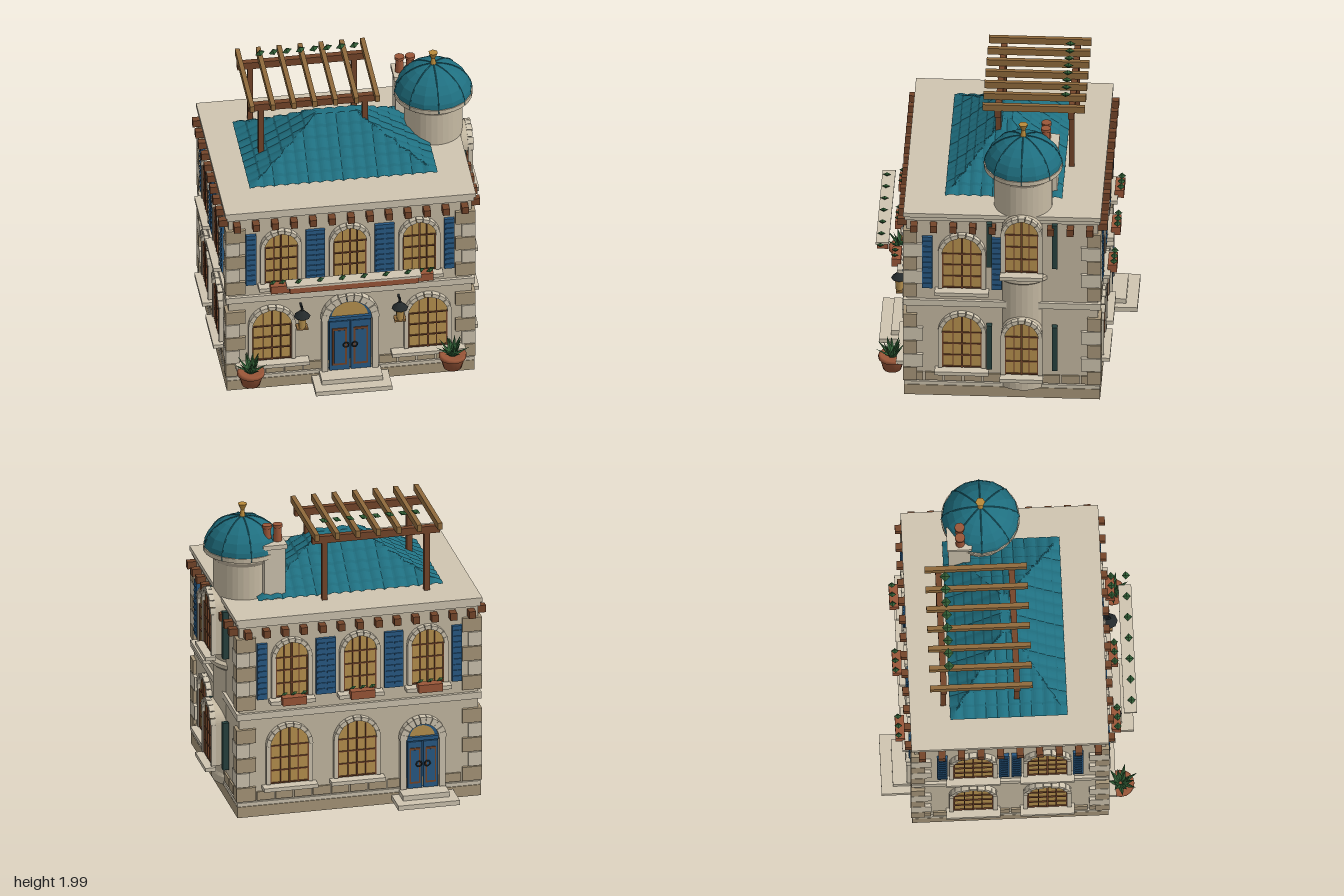
import * as THREE from 'three';

const mat = (color, extra = {}) => new THREE.MeshStandardMaterial({ color, ...extra });
const M = {
  wall: mat(0xc6baa3), trim: mat(0xcfc5b0), stone: mat(0xa8977a), teal: mat(0x1f6f80, { flatShading: true }),
  blue: mat(0x285a85), amber: mat(0xb8924f), wood: mat(0x74452a), rafter: mat(0x8f6a3c),
  clay: mat(0x9a5638), leaf: mat(0x2f5c34, { flatShading: true }), dark: mat(0x23292b), shade: mat(0x27423f), gold: mat(0xb98a3a),
};
// Wall planes of the body
const X0 = -0.83, X1 = 0.76, Z0 = -0.64, Z1 = 0.6, CX = (X0 + X1) / 2, CZ = (Z0 + Z1) / 2;

function add(parent, name, geo, material, x = 0, y = 0, z = 0) {
  const m = new THREE.Mesh(geo, material);
  m.name = name;
  m.position.set(x, y, z);
  parent.add(m);
  return m;
}
const box = (p, name, material, w, h, d, x, y, z) => add(p, name, new THREE.BoxGeometry(w, h, d), material, x, y, z);

function group(parent, name, x = 0, y = 0, z = 0) {
  const g = new THREE.Group();
  g.name = name;
  g.position.set(x, y, z);
  parent.add(g);
  return g;
}
// Group on a wall: local +z points outwards, u is the world coordinate along the wall
function onWall(parent, name, side, u, y = 0, plane) {
  const g = group(parent, name);
  if (side === 'front') g.position.set(u, y, plane ?? Z1);
  if (side === 'back') { g.position.set(u, y, plane ?? Z0); g.rotation.y = Math.PI; }
  if (side === 'right') { g.position.set(plane ?? X1, y, u); g.rotation.y = Math.PI / 2; }
  if (side === 'left') { g.position.set(plane ?? X0, y, u); g.rotation.y = -Math.PI / 2; }
  return g;
}
// Arched outline from y = 0, springing at height s
function arch(r, s) {
  const sh = new THREE.Shape();
  sh.moveTo(-r, 0);
  sh.lineTo(r, 0);
  sh.lineTo(r, s);
  sh.absarc(0, s, r, 0, Math.PI, false);
  sh.closePath();
  return sh;
}
const extrude = (shape, depth) => new THREE.ExtrudeGeometry(shape, { depth, bevelEnabled: false, curveSegments: 16 });

// Ring of wedge stones around an arch
function archStones(g, rIn, rOut, s, depth, n = 9) {
  for (let i = 0; i < n; i++) {
    const a = (i + 0.04) / n * Math.PI, b = (i + 0.96) / n * Math.PI;
    const sh = new THREE.Shape();
    sh.absarc(0, s, rOut, a, b, false);
    sh.absarc(0, s, rIn, b, a, true);
    sh.closePath();
    add(g, 'archStone', extrude(sh, depth + (i % 2 ? 0.004 : 0)), M.trim);
  }
}

function leafTuft(g, x, y, z, s = 0.025) {
  const m = add(g, 'leaf', new THREE.OctahedronGeometry(s), M.leaf, x, y, z);
  m.scale.y = 0.5;
  m.rotation.z = 0.4;
}

// Arched window: R outer radius, h full height
function archWindow(g, R, h, { shutters = 0, planter = false, sill = R * 2 + 0.03, sillDepth = 0.07 } = {}) {
  const s = h - R, r = R - 0.027;
  add(g, 'glass', extrude(arch(r, s), 0.014), M.amber);
  archStones(g, r, R, s, 0.034);
  for (const k of [-1, 1]) {
    box(g, 'jamb', M.trim, 0.027, s, 0.03, k * (R - 0.0135), s / 2, 0.015);
    box(g, 'innerFrame', M.wood, 0.008, s, 0.022, k * (r - 0.004), s / 2, 0.011);
    box(g, 'mullion', M.wood, 0.007, s + r * 0.8, 0.022, k * r * 0.45, (s + r * 0.8) / 2, 0.011);
  }
  box(g, 'mullion', M.wood, 0.012, h - 0.03, 0.024, 0, (h - 0.03) / 2, 0.012);
  for (const t of [0.02, 0.35, 0.68, 1]) box(g, 'glazingBar', M.wood, r * 2, 0.008, 0.022, 0, s * t, 0.011);
  box(g, 'sill', M.trim, sill, 0.026, sillDepth, 0, -0.022, sillDepth / 2);
  if (shutters) for (const k of [-1, 1]) {
    box(g, 'shutter', M.blue, 0.066, 0.39, 0.022, k * shutters, 0.19, 0.013);
    for (let i = 0; i < 9; i++) box(g, 'shutterSlat', M.blue, 0.05, 0.012, 0.008, k * shutters, 0.03 + i * 0.04, 0.027);
  }
  if (planter) {
    box(g, 'windowBox', M.clay, 0.16, 0.055, 0.06, 0, 0, 0.08);
    for (const x of [-0.065, 0, 0.065]) leafTuft(g, x, 0.05, 0.09);
  }
}

// Double door with fanlight
function archDoor(g, R, h) {
  const s = h - R, r = R - 0.05;
  add(g, 'doorSurround', extrude(arch(r, s), 0.012), M.blue);
  add(g, 'fanlight', new THREE.CircleGeometry(r - 0.02, 20, 0, Math.PI), M.amber, 0, s, 0.014);
  archStones(g, r, R, s, 0.045, 11);
  for (const k of [-1, 1]) {
    box(g, 'jamb', M.trim, 0.04, s, 0.04, k * (R - 0.025), s / 2, 0.02);
    box(g, 'doorLeaf', M.blue, r - 0.01, s - 0.02, 0.03, k * r / 2, s / 2 - 0.01, 0.015);
    box(g, 'doorPanelFrame', M.wood, r * 0.68, s * 0.72, 0.008, k * r / 2, s * 0.46, 0.032);
    box(g, 'doorPanel', M.blue, r * 0.5, s * 0.64, 0.012, k * r / 2, s * 0.46, 0.032);
    add(g, 'doorHandle', new THREE.TorusGeometry(0.018, 0.005, 6, 14), M.dark, k * 0.028, s * 0.5, 0.042);
  }
  box(g, 'transom', M.blue, r * 2, 0.025, 0.034, 0, s, 0.017);
}

function lamp(g) {
  box(g, 'lampBracket', M.dark, 0.012, 0.012, 0.08, 0, 0.15, 0.04);
  add(g, 'lampCap', new THREE.ConeGeometry(0.055, 0.055, 8), M.dark, 0, 0.125, 0.07);
  add(g, 'lampFinial', new THREE.CylinderGeometry(0.006, 0.01, 0.035, 6), M.dark, 0, 0.16, 0.07);
  add(g, 'lampGlass', new THREE.CylinderGeometry(0.03, 0.024, 0.09, 6), M.amber, 0, 0.055, 0.07);
  box(g, 'lampBase', M.rafter, 0.075, 0.014, 0.06, 0, 0.005, 0.06);
}

function pottedPlant(g) {
  const pts = [[0, 0], [0.06, 0], [0.08, 0.075], [0.09, 0.078], [0.09, 0.1], [0.075, 0.1], [0, 0.09]];
  add(g, 'plantPot', new THREE.LatheGeometry(pts.map(p => new THREE.Vector2(...p)), 16), M.clay);
  for (let i = 0; i < 14; i++) {
    const a = i * 2.4, t = 0.35 + (i % 3) * 0.3;
    const geo = new THREE.ConeGeometry(0.024, 0.12, 4).translate(0, 0.055, 0).scale(1, 1, 0.4);
    add(g, 'plantLeaf', geo.rotateX(t).rotateY(a), M.leaf, Math.sin(a) * 0.02, 0.1, Math.cos(a) * 0.02);
  }
}

// Corrugated hip roof: a grid lifted by distance to its nearest edge
function hipRoof() {
  const hx = 0.615, hz = 0.38, geo = new THREE.PlaneGeometry(hx * 2, hz * 2, 120, 72).rotateX(-Math.PI / 2);
  const p = geo.attributes.position;
  for (let i = 0; i < p.count; i++) {
    const x = p.getX(i), z = p.getZ(i);
    const tx = (hx - Math.abs(x)) / (hx - 0.13), tz = (hz - Math.abs(z)) / (hz - 0.03);
    const t = Math.min(1, tx, tz), along = tz < tx ? x : z;
    const wave = 0.011 * Math.abs(Math.sin(along * Math.PI / 0.075));
    const course = 0.009 * (1 - (t * 6) % 1);
    p.setY(i, 0.3 * (0.86 * t + 0.14 * t * t) + (t < 1 ? wave + course : 0.005));
  }
  geo.computeVertexNormals();
  return geo;
}

function tower(root) {
  const g = group(root, 'tower', 0.62, 0, -0.15);
  const prof = [[0.2, 0.08], [0.2, 0.13], [0.19, 0.15], [0.19, 0.88], [0.215, 0.9], [0.215, 0.925], [0.19, 0.94],
    [0.19, 1.62], [0.21, 1.65], [0.21, 1.66], [0.255, 1.675], [0.255, 1.705], [0, 1.705]];
  add(g, 'towerShaft', new THREE.LatheGeometry(prof.map(q => new THREE.Vector2(...q)), 32), mat(0xc6baa3, { flatShading: true }));
  const dome = new THREE.SphereGeometry(0.255, 16, 6, 0, Math.PI * 2, 0, Math.PI / 2).scale(1, 0.88, 1);
  add(g, 'dome', dome, M.teal, 0, 1.68);
  for (let i = 0; i < 8; i++) {
    const rib = add(g, 'domeRib', new THREE.TorusGeometry(0.254, 0.004, 4, 10, Math.PI / 2).scale(1, 0.88, 1), M.teal, 0, 1.682);
    rib.rotation.y = i * Math.PI / 4;
  }
  add(g, 'finialStem', new THREE.CylinderGeometry(0.012, 0.02, 0.05, 8), M.gold, 0, 1.925);
  add(g, 'finialCup', new THREE.CylinderGeometry(0.032, 0.012, 0.045, 6), M.gold, 0, 1.968);
  for (const [y, h] of [[1.0, 0.42], [0.22, 0.42]]) {
    const w = onWall(root, 'towerWindow', 'right', -0.15, y, 0.83);
    add(w, 'windowBacking', extrude(arch(0.13, h - 0.135), 0.1), M.wall, 0, 0, -0.1);
    archWindow(w, 0.135, h, { sill: 0.28 });
    for (const k of [-1, 1]) box(w, 'foldedShutter', M.shade, 0.035, 0.33, 0.04, k * 0.212, 0.17, -0.045);
  }
}

function pergola(root) {
  const g = group(root, 'pergola');
  for (const z of [-0.44, 0.035]) {
    for (const x of [-0.535, 0.145]) box(g, 'pergolaPost', M.wood, 0.036, 0.42, 0.036, x, 1.6, z);
    box(g, 'pergolaBeam', M.wood, 0.85, 0.05, 0.04, -0.195, 1.815, z);
  }
  for (let i = 0; i < 7; i++) box(g, 'pergolaRafter', M.rafter, 0.03, 0.046, 0.665, -0.605 + i * 0.1365, 1.862, -0.197);
  for (let i = 0; i < 8; i++) leafTuft(g, -0.475 + i * 0.088, 1.925, -0.4, 0.034);
}

export function createModel() {
  const root = new THREE.Group();
  root.name = 'villa';
  const W = X1 - X0, D = Z1 - Z0;

  // Body, plinth and horizontal mouldings
  box(root, 'foundation', M.stone, W + 0.03, 0.075, D + 0.03, CX, 0.0375, CZ);
  box(root, 'plinthCap', M.trim, W + 0.03, 0.025, D + 0.03, CX, 0.09, CZ);
  box(root, 'walls', M.wall, W, 1.29, D, CX, 0.735, CZ);
  box(root, 'floorBand', M.trim, W + 0.04, 0.045, D + 0.04, CX, 0.705, CZ);
  box(root, 'corniceBand', M.trim, W + 0.025, 0.03, D + 0.025, CX, 1.345, CZ);
  box(root, 'roofSlab', M.trim, W + 0.05, 0.03, D + 0.04, CX, 1.375, CZ);

  // Wooden brackets under the cornice and stone blocks along the foot of the walls
  for (const [side, len, c] of [['front', W, CX], ['back', W, CX], ['right', D, CZ], ['left', D, CZ]]) {
    const n = Math.round(len / 0.125);
    for (let i = 0; i < n; i++) {
      const u = c + (i - (n - 1) / 2) * (len - 0.1) / (n - 1);
      const g = onWall(root, 'eavesBracket', side, u, 1.29);
      box(g, 'bracket', M.wood, 0.045, 0.05, 0.06, 0, 0, 0.03);
      box(onWall(root, 'footCourse', side, u, 0.14), 'footStone', M.stone, 0.115, 0.06, 0.012, 0, 0, 0.006);
    }
  }
  // Corner stones, alternating long and short
  for (const x of [X0, X1]) for (const z of [Z0, Z1]) for (const [y0, n] of [[0.16, 5], [0.8, 5]])
    for (let i = 0; i < n; i++) {
      const a = i % 2 ? 0.09 : 0.13, b = i % 2 ? 0.13 : 0.09, o = 0.022;
      box(root, 'cornerStone', i % 2 ? M.trim : M.stone, a, 0.096, b,
        x + Math.sign(x) * (o - a / 2), y0 + i * 0.102, z + Math.sign(z) * (o - b / 2));
    }

  // Windows of the front and back
  for (const x of [-0.49, -0.04, 0.415]) for (const side of ['front', 'back'])
    archWindow(onWall(root, 'upperWindow', side, x, 0.825), 0.135, 0.41, { shutters: 0.196, planter: true, sill: 0.3 });
  for (const x of [-0.55, 0.47]) archWindow(onWall(root, 'lowerWindow', 'front', x, 0.22), 0.155, 0.42, { sill: 0.48 });
  for (const x of [-0.02, 0.43]) archWindow(onWall(root, 'lowerWindow', 'back', x, 0.22), 0.155, 0.42, { sill: 0.36 });
  // Windows of the sides
  for (const [side, us] of [['right', [0.24]], ['left', [-0.26, 0.22]]]) for (const u of us) {
    archWindow(onWall(root, 'sideUpperWindow', side, u, 0.825), 0.155, 0.415, { shutters: side === 'right' ? 0.225 : 0.2, sill: 0.35 });
    archWindow(onWall(root, 'sideLowerWindow', side, u, 0.22), 0.155, 0.42, { sill: 0.35 });
  }

  // Doors with steps
  archDoor(onWall(root, 'frontDoor', 'front', -0.04, 0.1), 0.19, 0.59);
  archDoor(onWall(root, 'backDoor', 'back', -0.455, 0.1), 0.155, 0.5);
  for (const [side, u, w] of [['front', -0.04, 0.5], ['back', -0.455, 0.41]]) {
    const g = onWall(root, 'doorSteps', side, u);
    box(g, 'lowerStep', M.trim, w, 0.032, 0.205, 0, 0.044, 0.1025);
    box(g, 'upperStep', M.trim, w - 0.1, 0.034, 0.13, 0, 0.077, 0.065);
  }

  // Lamps, pots and the long flower trough
  for (const x of [-0.36, 0.28]) lamp(onWall(root, 'wallLamp', 'front', x, 0.48));
  for (const x of [-0.7, 0.62]) pottedPlant(group(root, 'pottedPlant', x, 0.1, 0.7));
  const trough = group(root, 'flowerTrough', -0.04, 0, 0.775);
  box(trough, 'troughRim', M.trim, 0.88, 0.016, 0.085, 0, 0.91, 0);
  box(trough, 'troughBox', M.clay, 0.84, 0.045, 0.07, 0, 0.88, 0);
  for (let i = 0; i < 7; i++) leafTuft(trough, -0.36 + i * 0.143, 0.935, 0.01, 0.027);

  // Roof, tower, chimney and pergola
  add(root, 'hipRoof', hipRoof(), M.teal, -0.042, 1.39, -0.02);
  tower(root);
  box(root, 'chimney', M.trim, 0.14, 0.36, 0.14, 0.455, 1.56, -0.295);
  box(root, 'chimneyCap', M.trim, 0.16, 0.03, 0.16, 0.455, 1.755, -0.295);
  for (const x of [0.42, 0.49]) {
    add(root, 'chimneyPot', new THREE.CylinderGeometry(0.024, 0.03, 0.1, 10), M.clay, x, 1.82, -0.29);
    add(root, 'chimneyPotRim', new THREE.CylinderGeometry(0.033, 0.033, 0.02, 10), M.clay, x, 1.875, -0.29);
  }
  pergola(root);
  return root;
}
